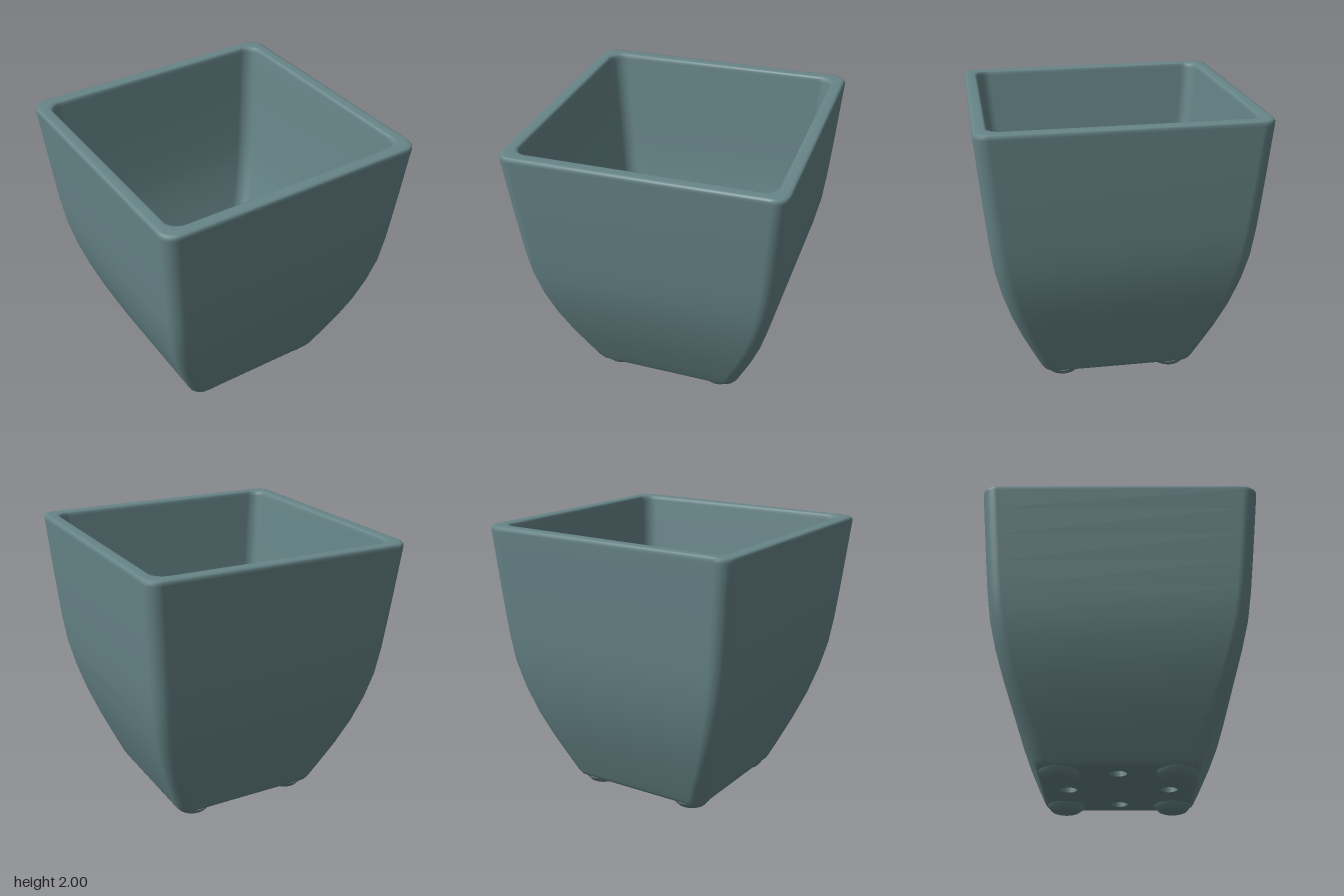
import * as THREE from 'three';

const ceramic = new THREE.MeshStandardMaterial({ color: 0x678588 });
ceramic.name = 'greyTealCeramic';

const CX = 0.02, CZ = -0.015; // the base sits slightly off the centre of the rim

// Points of a rounded square with half width h and corner radius r
function roundedSquare(h, r, steps = 8) {
  const pts = [];
  for (let c = 0; c < 4; c++) {
    const mid = (c + 0.5) * Math.PI / 2;
    const ox = Math.sign(Math.cos(mid)) * (h - r), oy = Math.sign(Math.sin(mid)) * (h - r);
    for (let i = 0; i <= steps; i++) {
      const a = (c + i / steps) * Math.PI / 2;
      pts.push(new THREE.Vector2(ox + r * Math.cos(a), oy + r * Math.sin(a)));
    }
  }
  return pts;
}

// Skin rounded-square sections [halfWidth, y, cornerRadius] into one wall
function loft(sections) {
  const pos = [], index = [];
  let n = 0;
  sections.forEach(([h, y, r]) => {
    const ring = roundedSquare(h, r);
    n = ring.length;
    ring.forEach((p) => {
      const k = y / 2; // lean and rim tilt grow with height
      const x = p.x + CX * (1 - k), z = p.y + CZ * (1 - k);
      pos.push(x, y + k * (0.011 * x - 0.006 * z), z);
    });
  });
  for (let j = 0; j < sections.length - 1; j++) {
    for (let i = 0; i < n; i++) {
      const a = j * n + i, b = j * n + (i + 1) % n;
      index.push(a, a + n, b, b, a + n, b + n);
    }
  }
  const g = new THREE.BufferGeometry();
  g.setAttribute('position', new THREE.Float32BufferAttribute(pos, 3));
  g.setIndex(index);
  g.computeVertexNormals();
  return g;
}

export function createModel() {
  const group = new THREE.Group();
  group.name = 'planter';
  const add = (geometry, name) => {
    const mesh = new THREE.Mesh(geometry, ceramic);
    mesh.name = name;
    group.add(mesh);
    return mesh;
  };

  // Walls: up the outside, over the rounded rim, down the inside
  add(loft([
    [0.5, 0.05, 0.08], [0.53, 0.052, 0.08], [0.55, 0.065, 0.09], [0.565, 0.09, 0.09],
    [0.615, 0.2, 0.1], [0.7, 0.4, 0.1], [0.775, 0.6, 0.1], [0.835, 0.8, 0.1],
    [0.88, 1.0, 0.1], [0.906, 1.2, 0.1], [0.925, 1.4, 0.1], [0.943, 1.6, 0.1],
    [0.96, 1.8, 0.1], [0.973, 1.95, 0.1], [0.973, 1.97, 0.1], [0.966, 1.982, 0.1],
    [0.95, 1.986, 0.1], [0.9, 1.986, 0.1], [0.887, 1.982, 0.1], [0.88, 1.97, 0.1],
    [0.878, 1.95, 0.1], [0.865, 1.8, 0.1], [0.848, 1.6, 0.1], [0.83, 1.4, 0.1],
    [0.81, 1.2, 0.1], [0.785, 1.0, 0.1], [0.74, 0.8, 0.1], [0.685, 0.6, 0.1],
    [0.615, 0.4, 0.1], [0.55, 0.22, 0.09], [0.535, 0.17, 0.09], [0.522, 0.148, 0.08],
    [0.5, 0.14, 0.08],
  ]), 'walls');

  // Floor slab with four drainage holes
  const floorShape = new THREE.Shape(roundedSquare(0.502, 0.08));
  for (const [x, y] of [[0.36, 0], [-0.36, 0], [0, 0.36], [0, -0.36]]) {
    floorShape.holes.push(new THREE.Path().absarc(x, y, 0.06, 0, Math.PI * 2, true));
  }
  const floor = new THREE.ExtrudeGeometry(floorShape, { depth: 0.09, bevelEnabled: false, curveSegments: 24 });
  floor.rotateX(-Math.PI / 2);
  floor.translate(CX, 0.05, CZ);
  add(floor, 'floor');

  // Four low rounded feet
  const footProfile = [[0, 0.004], [0.05, 0.001], [0.085, 0], [0.105, 0.008], [0.12, 0.024], [0.135, 0.042], [0.14, 0.054]]
    .map(([r, y]) => new THREE.Vector2(r, y));
  const foot = new THREE.LatheGeometry(footProfile, 32);
  for (const sx of [-1, 1]) {
    for (const sz of [-1, 1]) {
      const name = (sz > 0 ? 'front' : 'back') + (sx > 0 ? 'Left' : 'Right') + 'Foot';
      add(foot, name).position.set(CX + sx * 0.4, 0, CZ + sz * 0.4);
    }
  }
  return group;
}
